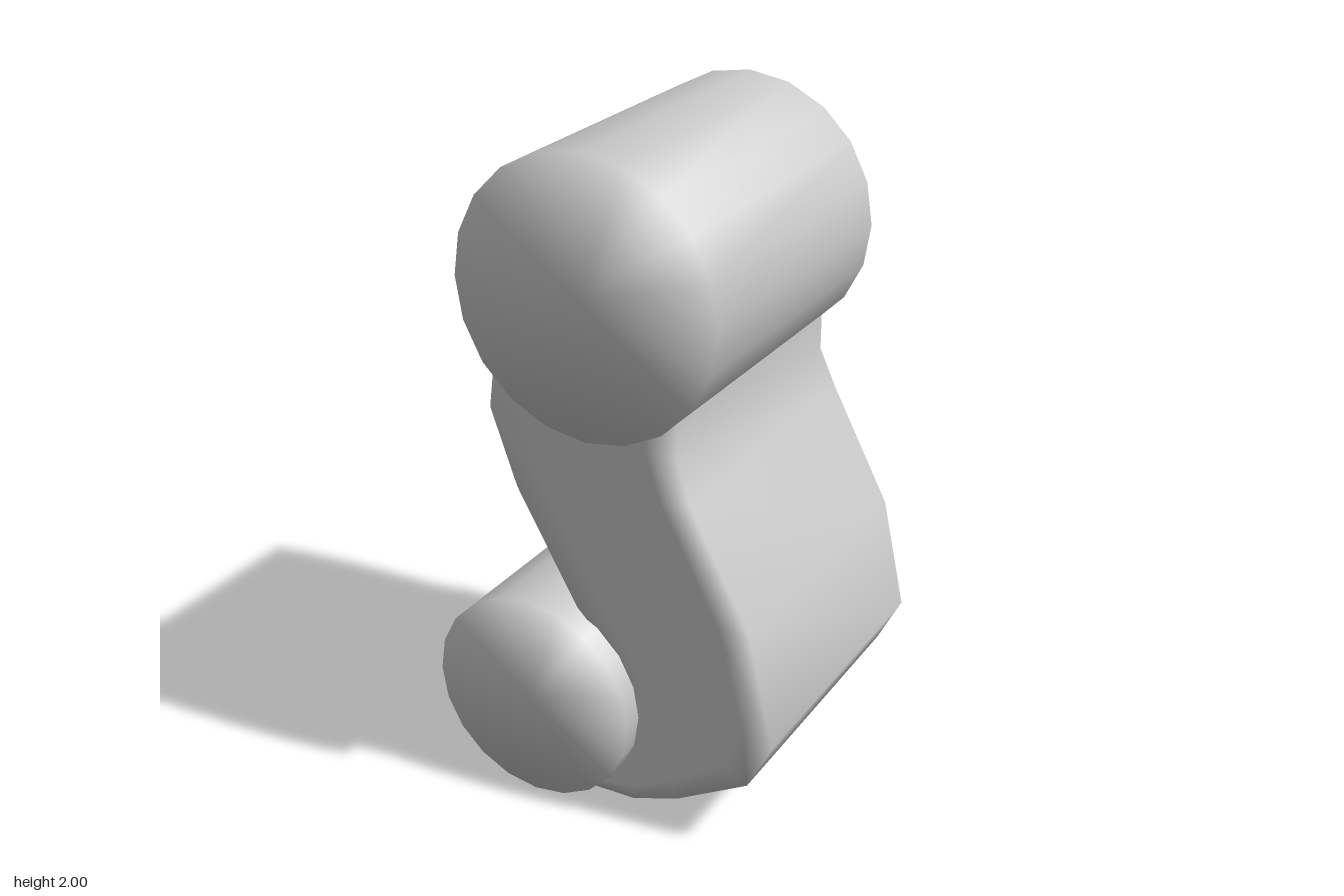
import * as THREE from 'three';

const material = new THREE.MeshStandardMaterial({ color: 0xcccccc, side: THREE.DoubleSide });
const UPPER = { x: -0.03, y: 1.595, r: 0.405, half: 0.468 };
const LOWER = { x: -0.215, y: 0.328, r: 0.325, half: 0.505 };

// Cup lying along z: closed at the front, hollow with a thin rim at the back
function makeCup(name, { x, y, r, half }) {
  const inner = r - 0.03;
  const profile = [
    [0, half - 0.03], [inner, half - 0.03], [inner, -half + 0.03], [inner + 0.01, -half],
    [r - 0.005, -half], [r, -half + 0.01], [r, half], [0, half],
  ].map(([px, py]) => new THREE.Vector2(px, py));
  const geometry = new THREE.LatheGeometry(profile, 20);
  geometry.rotateX(Math.PI / 2);
  const mesh = new THREE.Mesh(geometry, material);
  mesh.name = name;
  mesh.position.set(x, y, 0);
  return mesh;
}

// Bent block joining the cups, lofted from cross-sections going down
function makeLimb() {
  const columns = 6;
  const front = 0.44;
  // inner x, inner y, outer x, outer y, back z
  const sections = [
    [-0.34, 1.34, 0.24, 1.3, -0.43],
    [-0.36, 1.21, 0.24, 1.19, -0.43],
    [-0.28, 0.98, 0.28, 1.06, -0.46],
    [-0.09, 0.64, 0.465, 0.71, -0.46],
    [-0.01, 0.56, 0.54, 0.37, -0.46],
    [0.05, 0.48, 0.465, 0.22, -0.46],
    [0.085, 0.4, 0.24, 0.09, -0.46],
    [0.085, 0.28, 0.09, 0.035, -0.455],
    [0.03, 0.14, -0.09, 0.03, -0.45],
  ];
  const positions = [];
  sections.forEach(([ax, ay, bx, by, back], i) => {
    const row = [];
    for (let j = 0; j <= columns; j++) {
      const t = j / columns;
      const x = ax + (bx - ax) * t;
      let y = ay + (by - ay) * t;
      // the top edge follows the underside of the upper cup
      if (i === 0) y = UPPER.y - Math.sqrt((UPPER.r - 0.012) ** 2 - (x - UPPER.x) ** 2);
      row.push([x, y]);
    }
    row.forEach(([x, y]) => positions.push(x, y, front));
    row.reverse().forEach(([x, y]) => positions.push(x, y, back));
  });
  const ring = 2 * (columns + 1);
  const index = [];
  for (let i = 0; i < sections.length - 1; i++) {
    for (let j = 0; j < ring; j++) {
      const a = i * ring + j;
      const b = i * ring + ((j + 1) % ring);
      index.push(a, a + ring, b + ring, a, b + ring, b);
    }
  }
  const geometry = new THREE.BufferGeometry();
  geometry.setAttribute('position', new THREE.Float32BufferAttribute(positions, 3));
  geometry.setIndex(index);
  geometry.computeVertexNormals();
  const mesh = new THREE.Mesh(geometry, material);
  mesh.name = 'bentLimb';
  return mesh;
}

export function createModel() {
  const model = new THREE.Group();
  model.name = 'bentLink';
  model.add(makeCup('upperCup', UPPER), makeCup('lowerCup', LOWER), makeLimb());
  return model;
}
